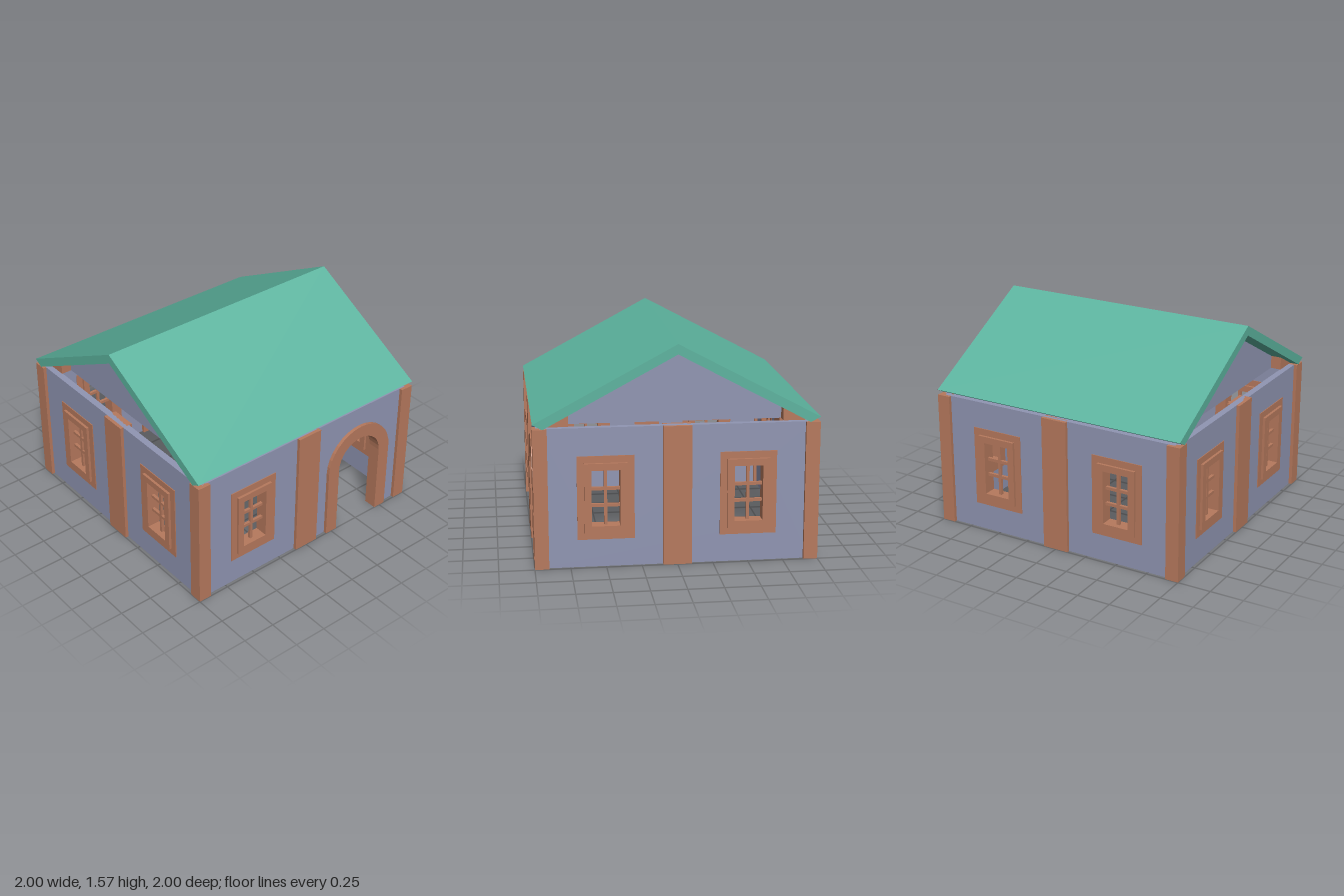
import * as THREE from 'three';

const wallMat = new THREE.MeshStandardMaterial({ name: 'lilac grey plaster', color: 0x9095b2 });
const woodMat = new THREE.MeshStandardMaterial({ name: 'reddish wood', color: 0xb6795d });
const roofMat = new THREE.MeshStandardMaterial({ name: 'green roofing', color: 0x5cb39e });
const MID = 0.95; // distance of each wall's middle plane from the centre

function add(parent, name, geometry, material, x = 0, y = 0, z = 0) {
  const mesh = new THREE.Mesh(geometry, material);
  mesh.name = name;
  mesh.position.set(x, y, z);
  parent.add(mesh);
  return mesh;
}

const box = (w, h, d) => new THREE.BoxGeometry(w, h, d);

function polygon(points) {
  return new THREE.Shape(points.map(([x, y]) => new THREE.Vector2(x, y)));
}

// Extrusion centred on its own depth
function slab(shape, depth) {
  return new THREE.ExtrudeGeometry(shape, { depth, bevelEnabled: false, curveSegments: 16 })
    .translate(0, 0, -depth / 2);
}

// Same, but running along x, with the profile given as (z, y)
const slabAlongX = (points, length) => slab(polygon(points), length).rotateY(Math.PI / 2);

const rectPoints = (x, y, w, h) => [
  [x - w / 2, y - h / 2], [x + w / 2, y - h / 2], [x + w / 2, y + h / 2], [x - w / 2, y + h / 2]];

function frame(w, h, holeW, holeH, depth) {
  const shape = polygon(rectPoints(0, 0, w, h));
  shape.holes.push(polygon(rectPoints(0, 0, holeW, holeH)));
  return slab(shape, depth);
}

// Points over a round arch, from right foot to left foot
function archPoints(x, radius, spring) {
  const points = [[x + radius, 0]];
  for (let i = 0; i <= 16; i++) {
    const a = (i / 16) * Math.PI;
    points.push([x + radius * Math.cos(a), spring + radius * Math.sin(a)]);
  }
  points.push([x - radius, 0]);
  return points;
}

function makeWindow(x) {
  const win = new THREE.Group();
  win.name = 'window';
  win.position.set(x, 0.5, MID);
  for (const side of [-1, 1]) {
    add(win, 'windowSurround', frame(0.4, 0.6, 0.28, 0.48, 0.008), woodMat, 0, 0, side * 0.027);
  }
  add(win, 'windowFrame', frame(0.3, 0.5, 0.2, 0.4, 0.1), woodMat);
  add(win, 'uprightBar', box(0.022, 0.4, 0.022), woodMat);
  for (const y of [-0.06, 0.06]) add(win, 'crossBar', box(0.2, 0.022, 0.022), woodMat, 0, y, 0);
  return win;
}

function makeSide(name, hasDoor) {
  const side = new THREE.Group();
  side.name = name;

  // Wall panel, with the doorway cut up from its foot
  const doorway = hasDoor ? archPoints(0.5, 0.25, 0.55).reverse() : [];
  const panel = polygon([[-0.95, 0], ...doorway, [0.95, 0], [0.95, 1], [-0.95, 1]]);
  const windows = hasDoor ? [-0.5] : [-0.5, 0.5];
  for (const x of windows) panel.holes.push(polygon(rectPoints(x, 0.5, 0.25, 0.45)));
  add(side, 'wall', slab(panel, 0.05), wallMat, 0, 0, MID);

  for (const x of windows) side.add(makeWindow(x));
  add(side, 'middlePost', box(0.2, 1, 0.1), woodMat, 0, 0.5, MID);
  add(side, 'cornerPost', box(0.1, 1, 0.1), woodMat, MID, 0.5, MID);

  if (hasDoor) {
    const arch = polygon([...archPoints(0.5, 0.3, 0.55), ...archPoints(0.5, 0.2, 0.55).reverse()]);
    add(side, 'doorArch', slab(arch, 0.1), woodMat, 0, 0, MID);
  }
  return side;
}

export function createModel() {
  const house = new THREE.Group();
  house.name = 'house';

  // Four sides, each turned a quarter from the last
  ['frontSide', 'leftSide', 'backSide', 'rightSide'].forEach((name, i) => {
    const side = makeSide(name, i === 0);
    side.rotation.y = (i * Math.PI) / 2;
    house.add(side);
  });

  // Gabled roof shell over a closed attic
  add(house, 'roof', slabAlongX(
    [[-0.93, 1], [0, 1.5], [0.93, 1], [1, 1.037], [0, 1.572], [-1, 1.037]], 2), roofMat);
  add(house, 'attic', slabAlongX([[-0.93, 1], [0.93, 1], [0, 1.5]], 1.7), wallMat);

  // Beam ends filling the eaves outside the gables
  for (const x of [-0.885, 0.885]) {
    for (const s of [-1, 1]) {
      const points = [[s * 0.75, 1], [s * 0.93, 1], [s * 0.75, 1.097]];
      add(house, 'eaveBeamEnd', slabAlongX(points, 0.09), woodMat, x, 0, 0);
    }
  }
  return house;
}
